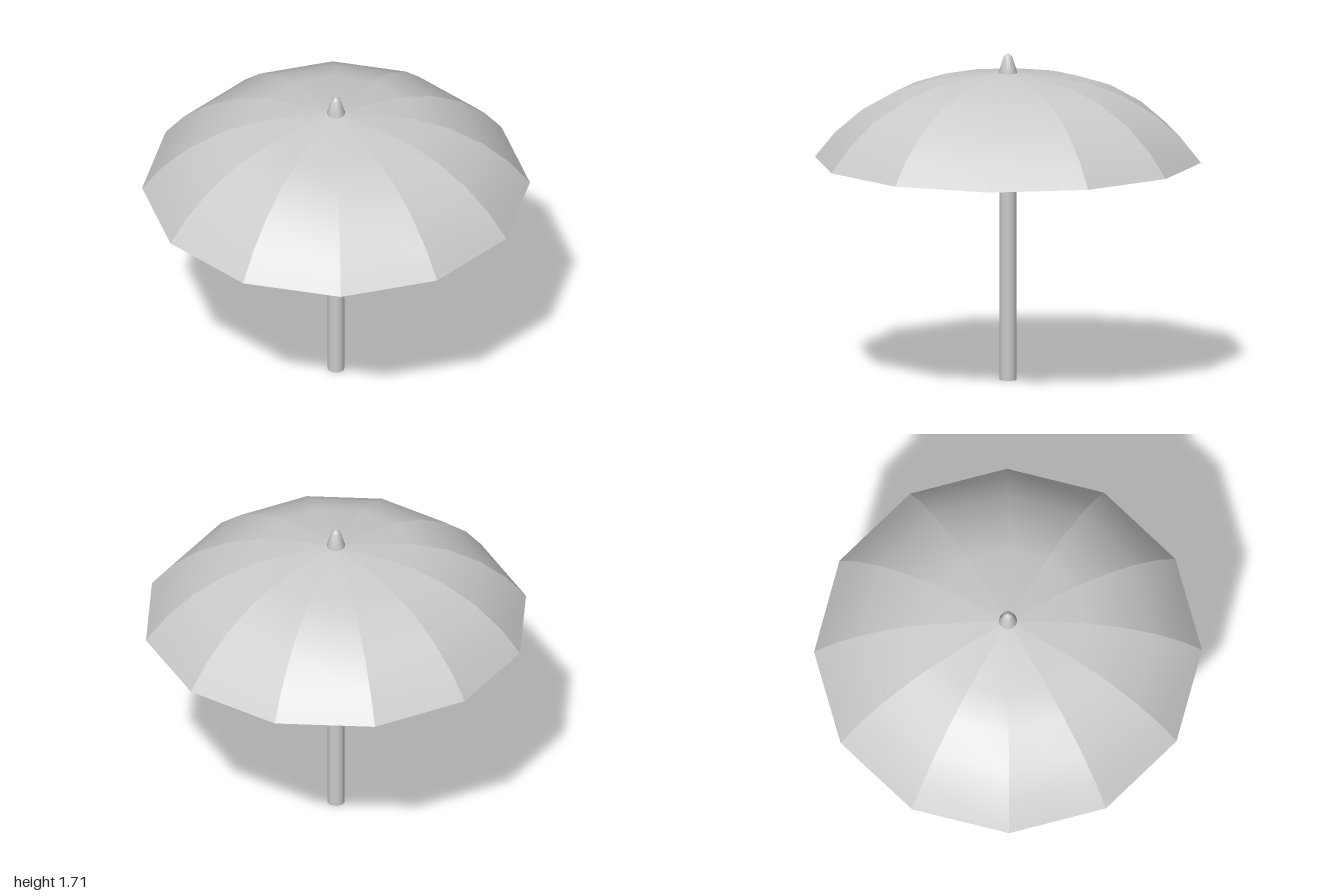
import * as THREE from 'three';
import { mergeGeometries, toCreasedNormals } from 'three/addons/utils/BufferGeometryUtils.js';

const PANELS = 12;

const points = (pairs) => pairs.map(([r, y]) => new THREE.Vector2(r, y));

// Flat-sided lathe: each panel is smooth along its length, creased at its seams
function panelled(profile) {
  const step = (Math.PI * 2) / PANELS;
  const panels = [];
  for (let i = 0; i < PANELS; i++) {
    const panel = new THREE.LatheGeometry(points(profile), 1, i * step, step);
    panel.computeVertexNormals();
    panels.push(panel);
  }
  return mergeGeometries(panels);
}

export function createModel() {
  const material = new THREE.MeshStandardMaterial({ color: 0xcccccc });
  const group = new THREE.Group();
  group.name = 'parasol';

  const add = (name, geometry, parent = group) => {
    const mesh = new THREE.Mesh(geometry, material);
    mesh.name = name;
    parent.add(mesh);
    return mesh;
  };

  // Canopy: outer cloth, underside and the flat rim joining them
  const outer = [[1, 1.15], [0.895, 1.28], [0.755, 1.4], [0.58, 1.5], [0.4, 1.56], [0, 1.61]];
  const inner = [[0, 1.58], [0.39, 1.53], [0.565, 1.472], [0.735, 1.375], [0.87, 1.26], [0.967, 1.15]];
  const canopy = new THREE.Group();
  canopy.name = 'canopy';
  group.add(canopy);
  add('canopyTop', panelled(outer), canopy);
  add('canopyUnderside', panelled(inner), canopy);
  add('canopyRim', panelled([[0.967, 1.15], [1, 1.15]]), canopy);

  // Pole
  add('pole', new THREE.CylinderGeometry(0.045, 0.045, 1.6, 12)).position.y = 0.8;

  // Tapered finial with a small rounded tip
  const finial = new THREE.LatheGeometry(
    points([[0, 1.6], [0.047, 1.6], [0.047, 1.61], [0.022, 1.69], [0, 1.708]]), 12);
  add('finial', toCreasedNormals(finial, 0.6));

  return group;
}
